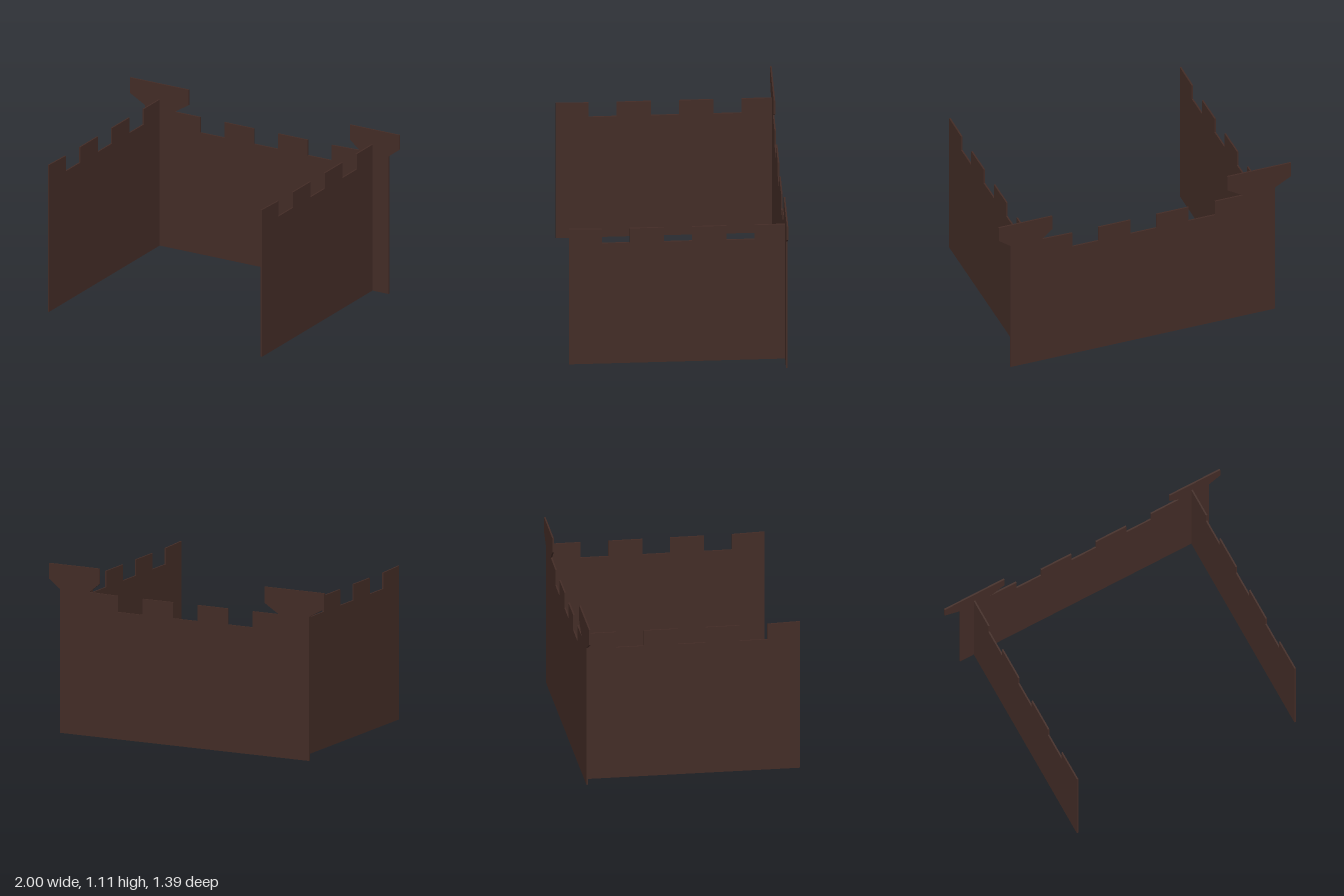
import * as THREE from 'three';

const T = 0.01; // panel thickness
const material = new THREE.MeshStandardMaterial({ color: 0x432c26, flatShading: true });

// Flat panel cut from an outline, centred on its thickness
function panel(points) {
  const shape = new THREE.Shape(points.map(([x, y]) => new THREE.Vector2(x, y)));
  return new THREE.ExtrudeGeometry(shape, { depth: T, bevelEnabled: false }).translate(0, 0, -T / 2);
}

// Battlement steps: at each edge the top switches between high and low
function battlements(edges, high, low) {
  return edges.flatMap((x, i) => (i % 2 ? [[x, low], [x, high]] : [[x, high], [x, low]]));
}

function addMesh(group, geometry, name, x, z) {
  const mesh = new THREE.Mesh(geometry, material);
  mesh.name = name;
  mesh.position.set(x, 0, z);
  group.add(mesh);
}

export function createModel() {
  const group = new THREE.Group();
  group.name = 'castleWalls';

  // Back wall with a flared turret at each end
  const back = panel([
    [0.92, 0], [-0.89, 0],
    [-0.89, 0.94], [-1, 1], [-1, 1.105], [-0.566, 1.105], [-0.566, 1], [-0.67, 0.935],
    ...battlements([-0.48, -0.3, -0.08, 0.098, 0.318, 0.497], 0.935, 0.83),
    [0.705, 0.94], [0.633, 1], [0.633, 1.1], [1, 1.1], [1, 1], [0.92, 0.94],
  ]);
  addMesh(group, back, 'backWall', 0, -0.69);

  // Matching side walls, outline drawn along z
  const side = panel([
    [0.697, 0], [-0.69, 0], [-0.69, 0.997],
    ...battlements([-0.49, -0.31, -0.09, 0.088, 0.308, 0.487], 0.997, 0.892),
    [0.697, 1.003],
  ]).rotateY(-Math.PI / 2);
  addMesh(group, side, 'leftWall', 0.795, 0);
  addMesh(group, side, 'rightWall', -0.785, 0);

  return group;
}
